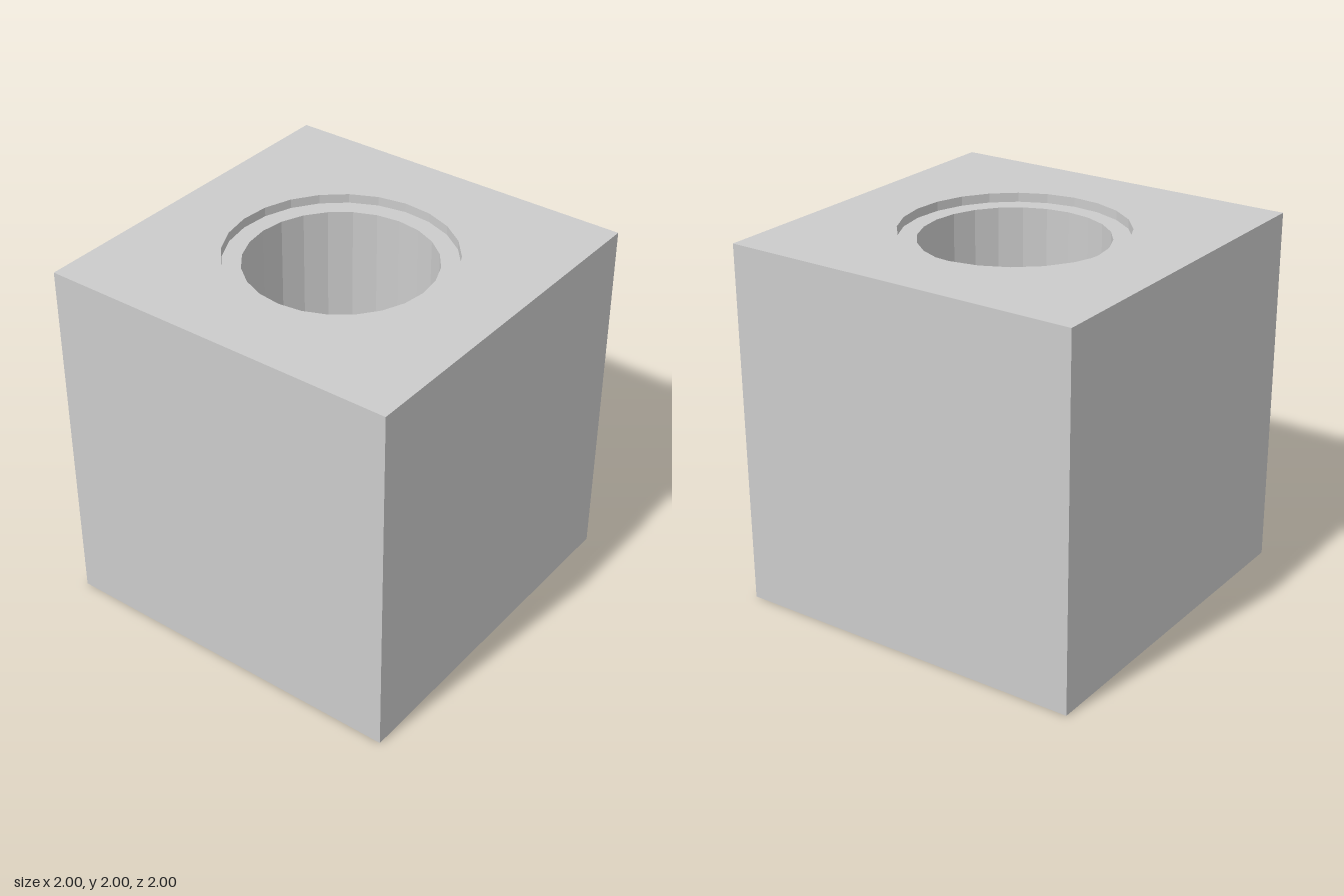
import * as THREE from 'three';

const SIDES = 24;
const TWIST = THREE.MathUtils.degToRad(3);
const TOP = 2, LEDGE = 1.95, FLOOR = 0.5;
const OUTER = 0.6, INNER = 0.5;

const material = new THREE.MeshStandardMaterial({ color: 0xcccccc, flatShading: true });
const wallMaterial = new THREE.MeshStandardMaterial({ color: 0xcccccc, flatShading: true, side: THREE.DoubleSide });

// Regular polygon outline
function ring(radius, start) {
  return Array.from({ length: SIDES }, (_, i) => {
    const a = start + (i / SIDES) * Math.PI * 2;
    return new THREE.Vector2(radius * Math.cos(a), radius * Math.sin(a));
  });
}

export function createModel() {
  const group = new THREE.Group();
  const add = (name, geometry, mat = material) => {
    const mesh = new THREE.Mesh(geometry, mat);
    mesh.name = name;
    group.add(mesh);
  };

  // Upward-facing flat plate with an optional hole
  const plate = (name, outline, hole, y) => {
    const shape = new THREE.Shape(outline);
    if (hole) shape.holes.push(new THREE.Path(hole));
    add(name, new THREE.ShapeGeometry(shape).rotateX(-Math.PI / 2).translate(0, y, 0));
  };

  // Open round wall between two heights
  const wall = (name, radius, low, high, start) => {
    const g = new THREE.CylinderGeometry(radius, radius, high - low, SIDES, 1, true, start);
    add(name, g.translate(0, (low + high) / 2, 0), wallMaterial);
  };

  // Block sides and underside: a box with its top face left out
  const box = new THREE.BoxGeometry(2, 2, 2).translate(0, 1, 0);
  const index = Array.from(box.index.array);
  index.splice(12, 6);
  box.setIndex(index);
  box.clearGroups();
  add('blockBody', box);

  // Top face, shallow stepped recess and round well
  const square = [[-1, -1], [1, -1], [1, 1], [-1, 1]].map(([x, y]) => new THREE.Vector2(x, y));
  plate('topFace', square, ring(OUTER, TWIST), TOP);
  wall('recessWall', OUTER, LEDGE, TOP, TWIST);
  plate('recessLedge', ring(OUTER, TWIST), ring(INNER, 0), LEDGE);
  wall('wellWall', INNER, FLOOR, LEDGE, 0);
  plate('wellFloor', ring(INNER, 0), null, FLOOR);

  return group;
}
